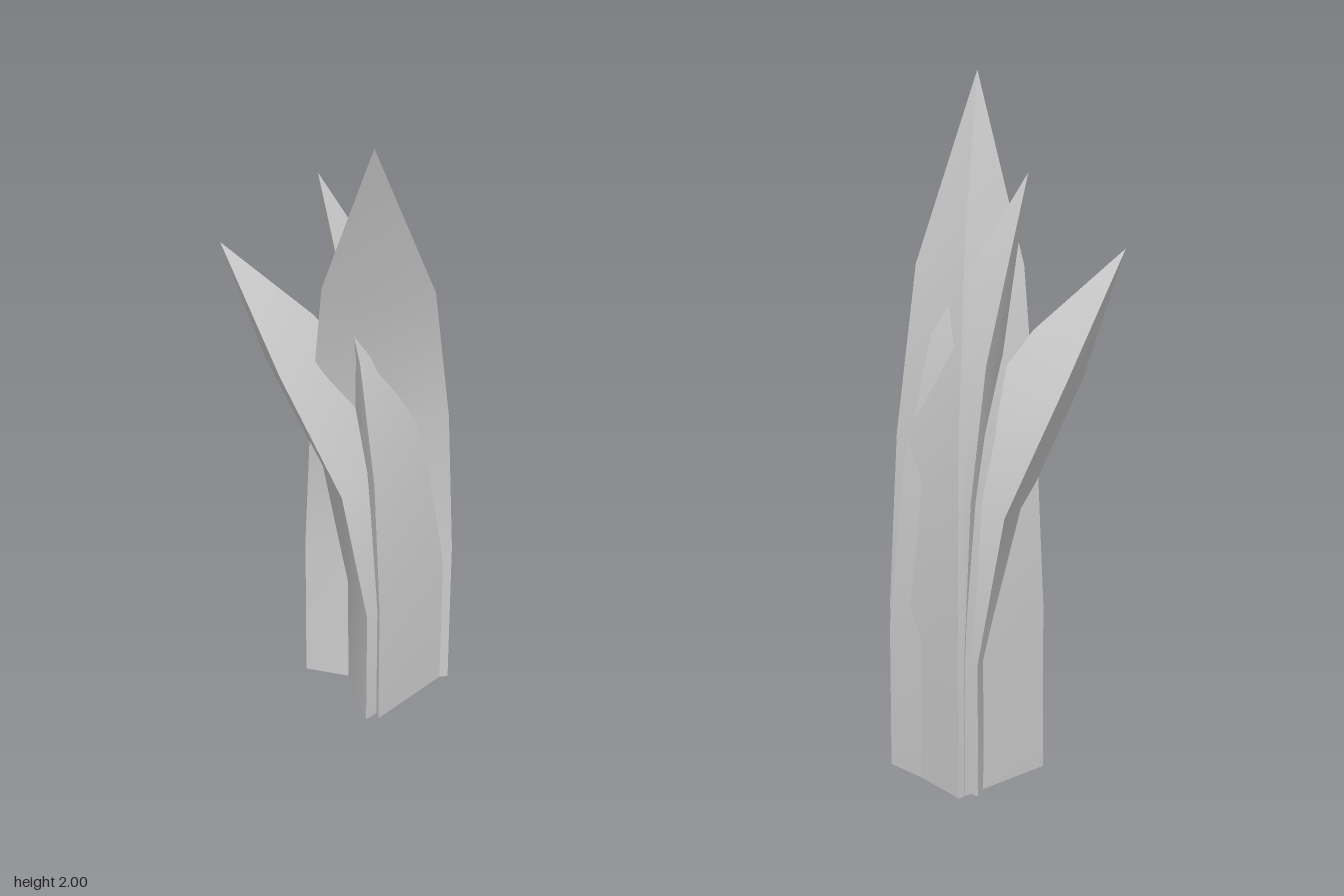
import * as THREE from 'three';
import { toCreasedNormals } from 'three/addons/utils/BufferGeometryUtils.js';

const material = new THREE.MeshStandardMaterial({ color: 0xcccccc, side: THREE.DoubleSide });

// A pointed leaf leaning towards +z, lofted through four-cornered sections.
// Section: [half width, edge z, edge y, outer ridge z, outer y, inner ridge z, inner y]
function leaf(name, sections, tip, position, yaw) {
  const points = [], faces = [];
  for (const [w, ez, ey, oz, oy, iz, iy] of sections) {
    points.push(0, oy, oz, w, ey, ez, 0, iy, iz, -w, ey, ez);
  }
  points.push(0, tip[1], tip[0]);
  const n = sections.length, apex = n * 4;
  for (let r = 0; r < n; r++) {
    for (let k = 0; k < 4; k++) {
      const a = r * 4 + k, b = r * 4 + (k + 1) % 4;
      if (r === n - 1) faces.push(a, b, apex);
      else faces.push(a, b, b + 4, a, b + 4, a + 4);
    }
  }
  // closed foot
  faces.push(0, 2, 1, 0, 3, 2);

  const geometry = new THREE.BufferGeometry();
  geometry.setAttribute('position', new THREE.Float32BufferAttribute(points, 3));
  geometry.setIndex(faces);
  const mesh = new THREE.Mesh(toCreasedNormals(geometry, 0.6), material);
  mesh.name = name;
  mesh.position.set(...position);
  mesh.rotation.y = yaw;
  return mesh;
}

export function createModel() {
  const group = new THREE.Group();
  group.name = 'leafCluster';

  // Tall leaf, leaning forward
  group.add(leaf('tallLeaf', [
    [0.225, -0.07, 0, -0.03, 0, -0.31, 0],
    [0.223, -0.07, 0.51, -0.03, 0.5, -0.305, 0.52],
    [0.2, -0.045, 1.0, -0.01, 0.98, -0.245, 1.06],
    [0.155, 0.072, 1.47, 0.105, 1.44, -0.06, 1.57],
  ], [0.31, 2], [0.105, 0, 0], -0.08));

  // Short leaf, leaning strongly to the side
  group.add(leaf('shortLeaf', [
    [0.225, -0.075, 0, -0.015, 0, -0.32, 0],
    [0.223, -0.075, 0.4, -0.012, 0.38, -0.318, 0.43],
    [0.2, 0, 0.82, 0.06, 0.8, -0.2, 0.93],
    [0.157, 0.172, 1.2, 0.22, 1.17, 0.08, 1.31],
  ], [0.335, 1.54], [0, 0, -0.073], -Math.PI / 2));

  // Middle leaf, nearly upright
  group.add(leaf('middleLeaf', [
    [0.222, -0.113, 0, -0.055, 0, -0.335, 0],
    [0.22, -0.112, 0.42, -0.053, 0.41, -0.333, 0.44],
    [0.195, -0.093, 0.86, -0.035, 0.85, -0.29, 0.9],
    [0.152, -0.05, 1.24, -0.008, 1.22, -0.205, 1.3],
  ], [0.065, 1.75], [0, 0, -0.075], -Math.PI / 2));

  return group;
}
